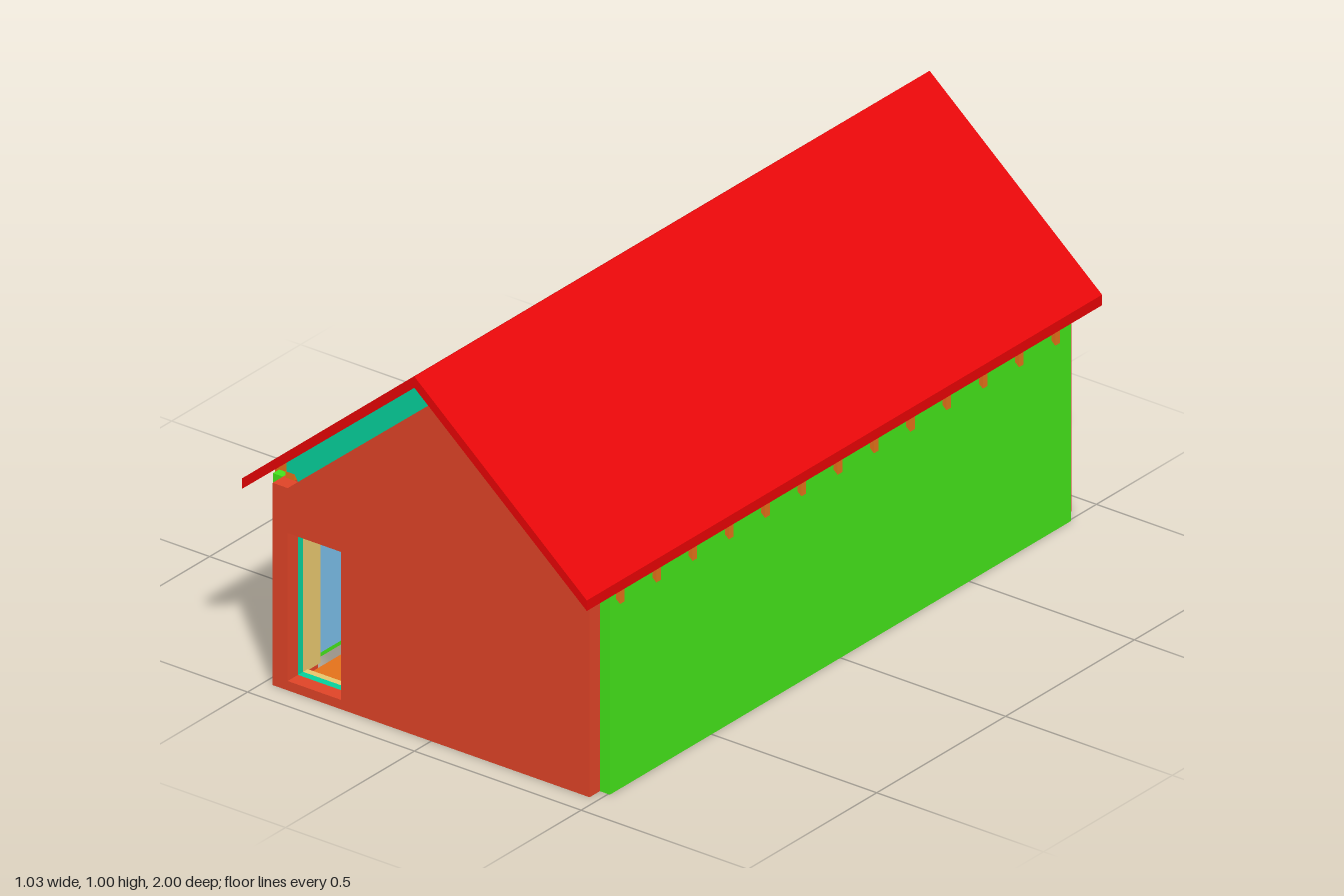
import * as THREE from 'three';

const paint = (name, color) => {
  const m = new THREE.MeshStandardMaterial({ color });
  m.name = name;
  return m;
};

export function createModel() {
  const house = new THREE.Group();
  house.name = 'house';
  const red = paint('roofRed', 0xe80204);
  const green = paint('claddingGreen', 0x44e41a);
  const brick = paint('wallTerracotta', 0xe04427);
  const teal = paint('insulationTeal', 0x05d19c);
  const orange = paint('timberOrange', 0xe4721a);
  const tan = paint('liningTan', 0xebca70);
  const glass = paint('windowGlass', 0x7abee8);
  const blue = paint('ceilingBlue', 0x0552f0);

  const add = (name, geo, mat) => {
    const m = new THREE.Mesh(geo, mat);
    m.name = name;
    house.add(m);
    return m;
  };
  // box from minimum and maximum corners
  const box = (name, mat, x0, x1, y0, y1, z0, z1) => {
    const m = add(name, new THREE.BoxGeometry(x1 - x0, y1 - y0, z1 - z0), mat);
    m.position.set((x0 + x1) / 2, (y0 + y1) / 2, (z0 + z1) / 2);
  };
  // counter-clockwise outline with clockwise rectangular holes
  const outline = (pts, holes = []) => {
    const s = new THREE.Shape(pts.map(p => new THREE.Vector2(...p)));
    for (const [a, b, y0, y1] of holes)
      s.holes.push(new THREE.Path([[a, y0], [a, y1], [b, y1], [b, y0]].map(p => new THREE.Vector2(...p))));
    return s;
  };
  // x-y outline extruded from z0 to z1
  const alongZ = (name, mat, pts, z0, z1, holes) => {
    const g = new THREE.ExtrudeGeometry(outline(pts, holes), { depth: z1 - z0, bevelEnabled: false });
    add(name, g, mat).position.z = z0;
  };
  // z-y outline extruded from x0 to x1
  const alongX = (name, mat, pts, x0, x1, holes) => {
    const g = new THREE.ExtrudeGeometry(outline(pts, holes), { depth: x1 - x0, bevelEnabled: false });
    const m = add(name, g, mat);
    m.rotation.y = -Math.PI / 2;
    m.position.x = x1;
  };
  // right half, listed upwards and ending on the ridge, mirrored to a full outline
  const mirror = half => [...half, ...half.slice(0, -1).reverse().map(([x, y]) => [-x, y])];

  const SILL = 0.025, HEAD = 0.42, WALL = 0.54, L = 0.895, FLOOR = 0.02;
  const underside = x => 0.97 - 0.8375 * x;

  // roof covering
  alongZ('roof', red, [[0, 1], [-0.517, 0.565], [-0.517, 0.537], [0, 0.97], [0.517, 0.537], [0.517, 0.565]], -1, 1);

  // insulation, ceiling, wall plates and rafters on each slope
  for (const s of [-1, 1]) {
    const side = pts => pts.map(([x, y]) => [s * x, y]);
    alongZ('roofInsulation', teal,
      side([[0, 0.97], [0.465, underside(0.465)], [0.465, 0.557], [0.44, 0.557], [0.43, WALL], [0, 0.9]]), -L, L);
    alongZ('ceiling', blue,
      side([[0, 0.9], [0.43, WALL], [0.43, 0.532], [0, 0.892]]), -0.857, 0.857);
    box('wallPlate', orange, s > 0 ? 0.44 : -0.468, s > 0 ? 0.468 : -0.44, WALL, 0.557, -L, L);
    for (let i = 0; i < 13; i++) {
      const z = 0.862 - i * 0.1408;
      alongZ('rafter', orange, side([[0.3, underside(0.3)], [0.517, underside(0.517)],
        [0.517, underside(0.517) - 0.034], [0.3, underside(0.3) - 0.034]]), z - 0.009, z + 0.009);
    }
  }

  // gable walls with insulation and inner lining
  const gable = mirror([[0.475, 0], [0.475, WALL], [0.43, WALL], [0, 0.9]]);
  const inner = mirror([[0.44, FLOOR], [0.44, 0.525], [0, 0.892]]);
  const door = [-0.43, -0.27, SILL, HEAD];
  const backDoor = [0.16, 0.32, SILL, HEAD];
  alongZ('frontGable', brick, gable, L, 0.935, [door]);
  alongZ('backGable', brick, gable, -0.935, -L, [door, backDoor]);
  alongZ('frontGableInsulation', teal, inner, 0.875, L, [door]);
  alongZ('backGableInsulation', teal, inner, -L, -0.875, [door, backDoor]);
  alongZ('frontGableLining', tan, inner, 0.857, 0.875, [door]);
  alongZ('backGableLining', tan, inner, -0.875, -0.857, [door, backDoor]);

  // solid long wall
  box('leftCladding', green, 0.475, 0.505, 0, WALL, -L, L);
  box('leftWall', brick, 0.44, 0.475, 0, WALL, -L, L);
  box('leftLining', orange, 0.432, 0.44, FLOOR, WALL, -0.857, 0.857);

  // long wall with three windows; the inner layers are open down to the ground
  const windows = [[-0.79, -0.385], [-0.345, 0.37], [0.41, 0.805]];
  const notched = (len, y0) => [[-len, y0],
    ...windows.flatMap(([a, b]) => [[a, y0], [a, HEAD], [b, HEAD], [b, y0]]),
    [len, y0], [len, WALL], [-len, WALL]];
  alongX('rightCladding', green, [[-L, 0], [L, 0], [L, WALL], [-L, WALL]], -0.505, -0.475,
    windows.map(([a, b]) => [a, b, SILL, HEAD]));
  alongX('rightWall', brick, notched(L, 0), -0.475, -0.44);
  alongX('rightLining', tan, notched(0.857, FLOOR), -0.44, -0.432);
  for (const [a, b] of windows) box('windowPane', glass, -0.458, -0.452, 0.03, HEAD, a, b);

  // floor
  box('floor', orange, -0.42, 0.44, 0.002, FLOOR, -L, L);
  return house;
}
